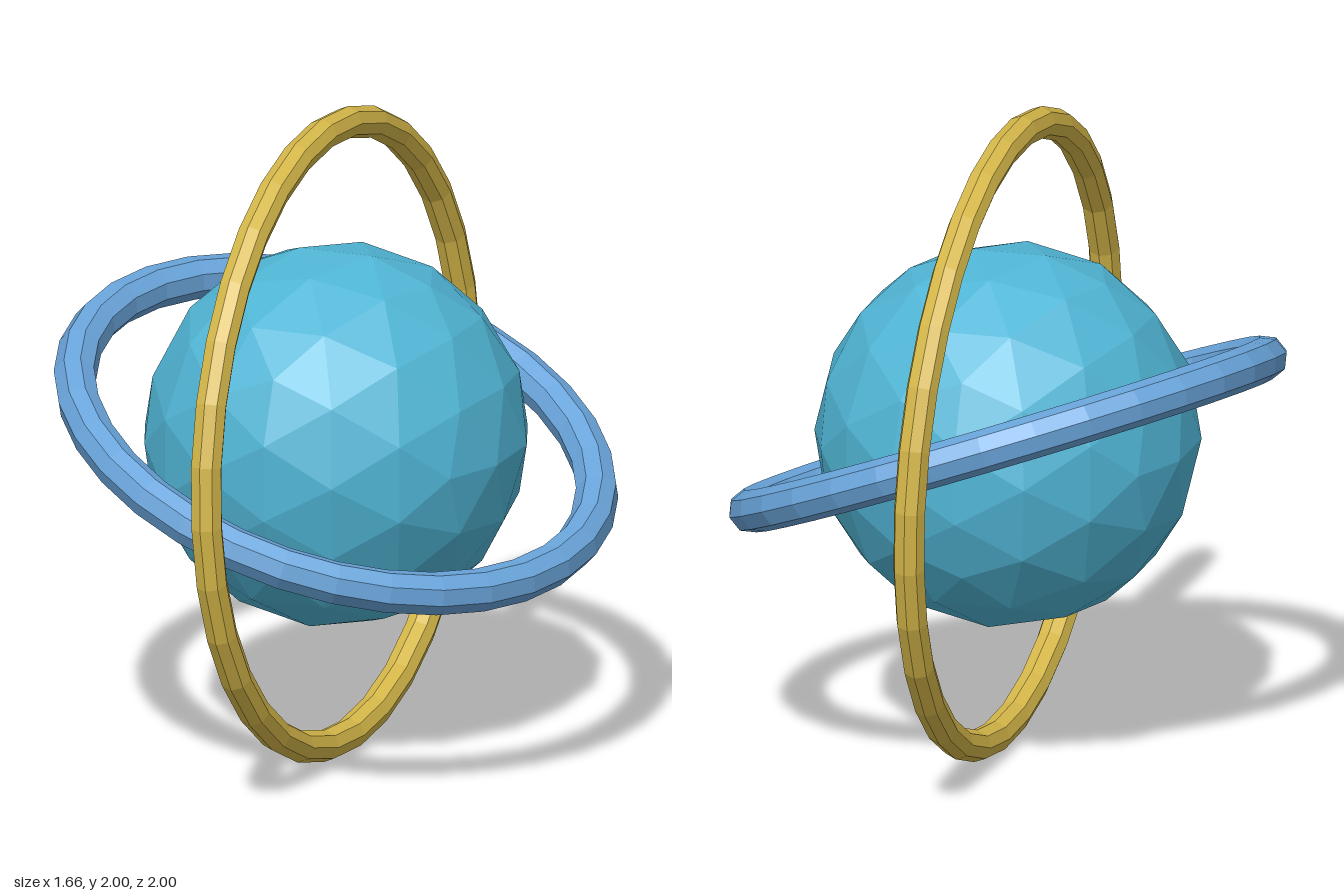
import * as THREE from 'three';

const material = (name, color) => {
  const m = new THREE.MeshStandardMaterial({ color, flatShading: true });
  m.name = name;
  return m;
};

export function createModel() {
  const group = new THREE.Group();
  group.name = 'ringedPlanet';
  const add = (name, geometry, mat, rx = 0, ry = 0) => {
    const mesh = new THREE.Mesh(geometry, mat);
    mesh.name = name;
    mesh.position.y = 1;
    mesh.rotation.set(rx, ry, 0);
    group.add(mesh);
  };

  // faceted globe
  add('globe', new THREE.IcosahedronGeometry(0.586, 2), material('turquoise', 0x50b5d5));

  // thicker ring, tilted around the equator
  add('equatorRing', new THREE.TorusGeometry(0.815, 0.066, 8, 32),
    material('skyBlue', 0x69a4da), -1.4, 0.35);

  // thin upright ring, leaning slightly
  add('uprightRing', new THREE.TorusGeometry(0.95, 0.049, 8, 32),
    material('gold', 0xd5b749), -0.75, 1.523);

  return group;
}
